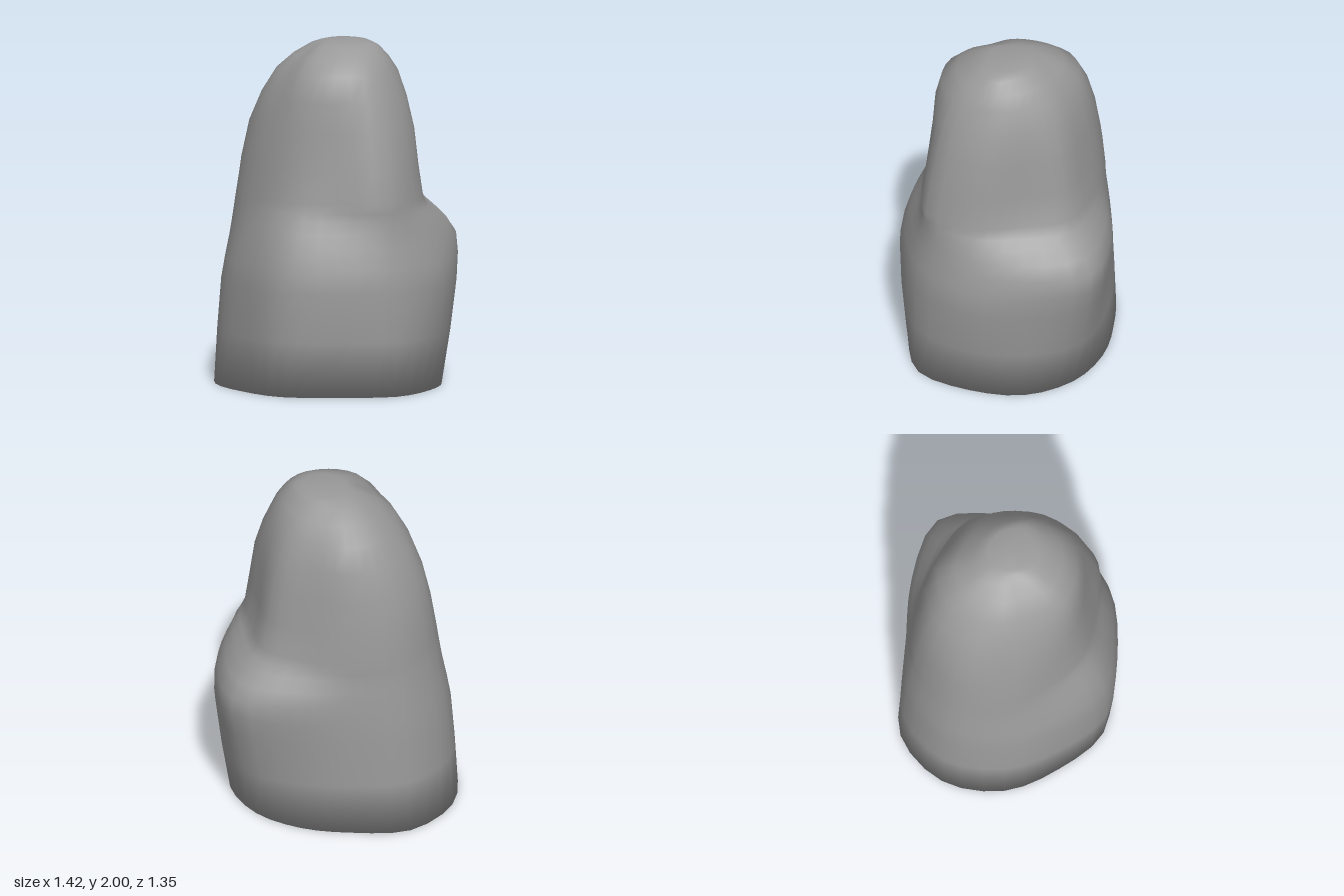
import * as THREE from 'three';

// Horizontal sections: height, then radii at 12 bearings from +x towards +z
const SECTIONS = [
  [0.00, .62, .67, .61, .655, .63, .68, .715, .685, .57, .555, .585, .615],
  [0.60, .71, .69, .65, .68, .625, .64, .68, .65, .565, .60, .73, .70],
  [0.85, .665, .64, .59, .625, .57, .59, .64, .62, .55, .61, .76, .69],
  [1.00, .615, .62, .535, .56, .53, .565, .615, .60, .525, .53, .625, .59],
  [1.10, .565, .62, .52, .52, .51, .55, .60, .59, .52, .49, .53, .49],
  [1.50, .505, .54, .47, .465, .45, .47, .53, .53, .47, .43, .46, .44],
  [1.82, .39, .425, .42, .395, .32, .33, .345, .385, .38, .34, .35, .36],
  [1.96, .29, .28, .235, .20, .14, .14, .15, .175, .18, .18, .205, .24],
  [1.99, .21, .19, .14, .10, .07, .055, .05, .06, .08, .11, .14, .18],
];
const SIDES = 12;
const ROWS = (SECTIONS.length - 1) * 2;
const COLS = SIDES * 3;

function boulderGeometry() {
  // Smooth vertical curves through the sections, one for each bearing
  const columns = Array.from({ length: SIDES }, (_, k) => {
    const a = (k / SIDES) * Math.PI * 2;
    return new THREE.CatmullRomCurve3(
      SECTIONS.map((s) => new THREE.Vector3(Math.cos(a) * s[k + 1], s[0], Math.sin(a) * s[k + 1])));
  });

  // Closed rings across those curves
  const positions = [];
  for (let j = 0; j <= ROWS; j++) {
    const ring = new THREE.CatmullRomCurve3(columns.map((c) => c.getPoint(j / ROWS)), true);
    for (let i = 0; i < COLS; i++) positions.push(...ring.getPoint(i / COLS).toArray());
  }
  const base = positions.length / 3;
  positions.push(0, 0, 0, 0.08, 2, -0.01);

  const index = [];
  for (let i = 0; i < COLS; i++) {
    const n = (i + 1) % COLS;
    for (let j = 0; j < ROWS; j++) {
      const a = j * COLS + i, b = j * COLS + n;
      index.push(a, a + COLS, b, b, a + COLS, b + COLS);
    }
    // Flat underside and rounded crown
    index.push(base, i, n);
    index.push(ROWS * COLS + i, base + 1, ROWS * COLS + n);
  }

  // Normals run smoothly round the bottom edge too
  const geometry = new THREE.BufferGeometry();
  geometry.setAttribute('position', new THREE.Float32BufferAttribute(positions, 3));
  geometry.setIndex(index);
  geometry.computeVertexNormals();
  return geometry;
}

export function createModel() {
  const group = new THREE.Group();
  group.name = 'rock';
  const boulder = new THREE.Mesh(boulderGeometry(), new THREE.MeshStandardMaterial({ color: 0x999999 }));
  boulder.name = 'boulder';
  group.add(boulder);
  return group;
}
